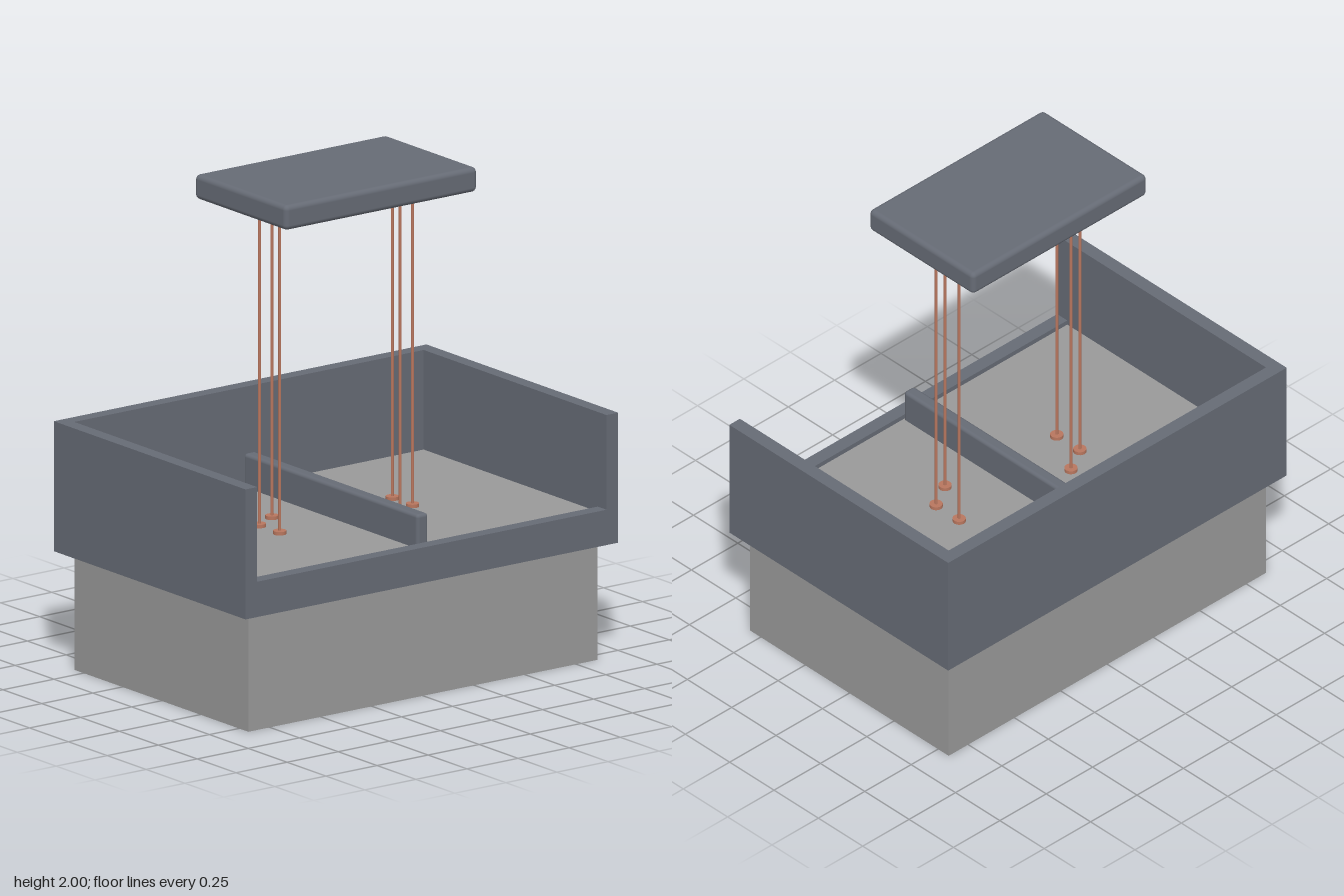
import * as THREE from 'three';
import { RoundedBoxGeometry } from 'three/addons/geometries/RoundedBoxGeometry.js';

const slate = new THREE.MeshStandardMaterial({ color: 0x666b75 });
slate.name = 'slate';
const stone = new THREE.MeshStandardMaterial({ color: 0x999999 });
stone.name = 'stone grey';
const copper = new THREE.MeshStandardMaterial({ color: 0xb8765e });
copper.name = 'copper';

const FLOOR = 0.6;
const OUT_X = 0.912, OUT_Z = 0.617; // outer half sizes of the walls
const IN_X = 0.855, IN_Z = 0.56;    // inner half sizes, same as the base

export function createModel() {
  const model = new THREE.Group();
  model.name = 'hearth';

  const add = (parent, name, geometry, material, x, y, z) => {
    const mesh = new THREE.Mesh(geometry, material);
    mesh.name = name;
    mesh.position.set(x, y, z);
    parent.add(mesh);
    return mesh;
  };
  // box given by its lower and upper corners
  const block = (parent, name, material, [x0, y0, z0], [x1, y1, z1]) =>
    add(parent, name, new THREE.BoxGeometry(x1 - x0, y1 - y0, z1 - z0), material,
      (x0 + x1) / 2, (y0 + y1) / 2, (z0 + z1) / 2);

  // plinth, its top is the floor of the tray
  block(model, 'base', stone, [-IN_X, 0, -IN_Z], [IN_X, FLOOR, IN_Z]);

  // surrounding walls, low at the front
  const walls = new THREE.Group();
  walls.name = 'walls';
  model.add(walls);
  const bottom = 0.477, top = 1.003;
  block(walls, 'leftWall', slate, [IN_X, bottom, -OUT_Z], [OUT_X, top, OUT_Z]);
  block(walls, 'rightWall', slate, [-OUT_X, bottom, -OUT_Z], [-IN_X, top, OUT_Z]);
  block(walls, 'backWall', slate, [-IN_X, bottom, -OUT_Z], [IN_X, top, -IN_Z]);
  block(walls, 'frontLip', slate, [-IN_X, bottom, IN_Z], [IN_X, 0.62, OUT_Z]);

  // rounded divider across the middle of the floor
  add(model, 'divider', new RoundedBoxGeometry(0.055, 0.175, 2 * IN_Z, 3, 0.014), slate, 0, 0.648, 0);

  // hanging slab
  add(model, 'canopy', new RoundedBoxGeometry(0.94, 0.1, 0.59, 4, 0.02), slate, 0, 1.95, 0);

  // three thin rods with round feet on each side
  const rodGeometry = new THREE.CylinderGeometry(0.006, 0.006, 1.91 - FLOOR, 12);
  const footGeometry = new THREE.CylinderGeometry(0.026, 0.026, 0.014, 20);
  const spots = [[0.215, 0.13], [0.325, 0.065], [0.325, -0.065]];
  for (const side of [1, -1]) {
    const rods = new THREE.Group();
    rods.name = side > 0 ? 'leftRods' : 'rightRods';
    model.add(rods);
    for (const [x, z] of spots) {
      // the two sets are half a turn apart
      add(rods, 'rod', rodGeometry, copper, side * x, (1.91 + FLOOR) / 2, side * z);
      add(rods, 'rodFoot', footGeometry, copper, side * x, FLOOR + 0.007, side * z);
    }
  }
  return model;
}
